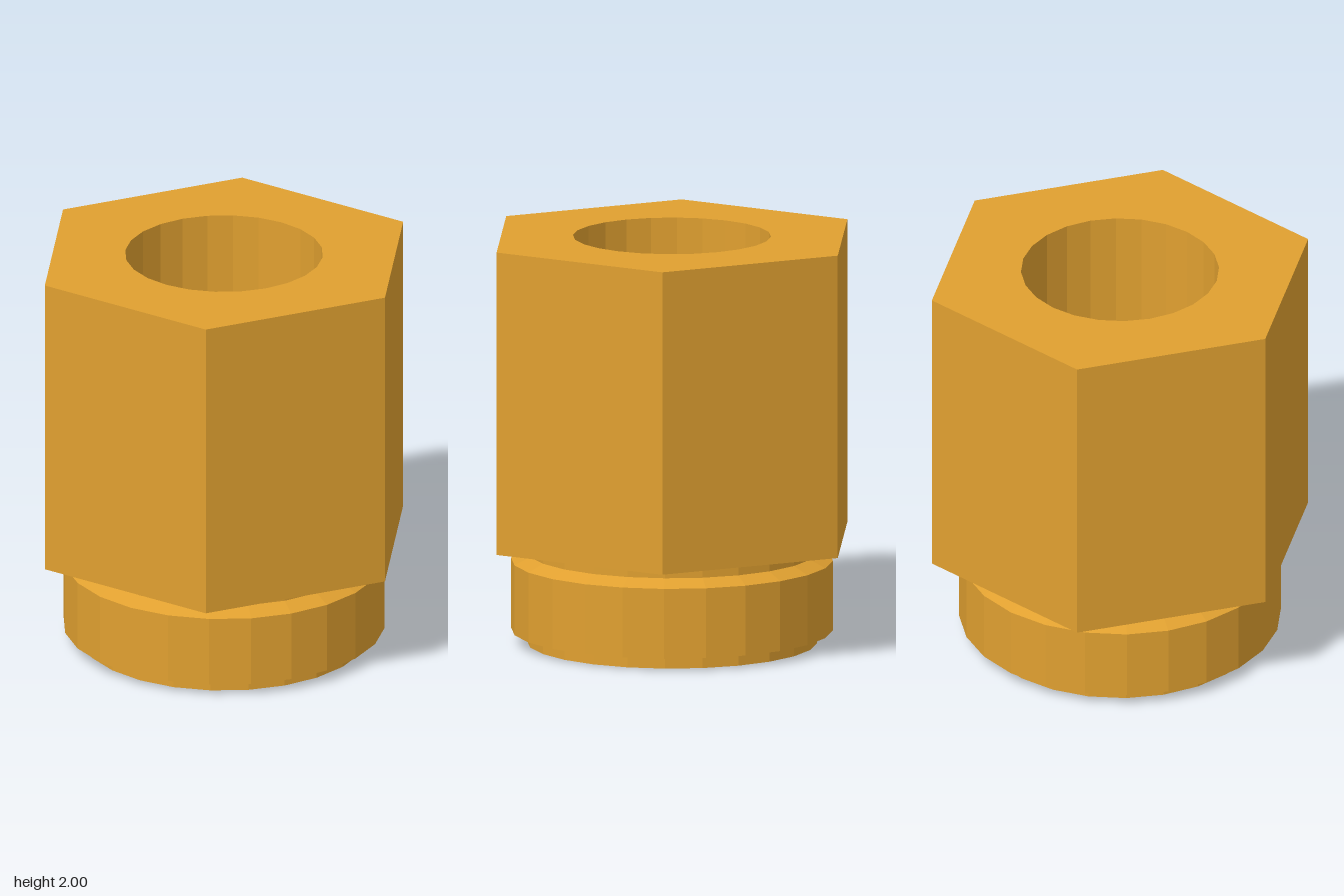
import * as THREE from 'three';

const TURN = THREE.MathUtils.degToRad(17.1); // shared rotation about the axis
const SIDES = 24;
const BORE = 0.48;
const JOIN = 0.51; // height where the collar meets the hex body

// Corners of a regular polygon
function ring(radius, sides) {
  return Array.from({ length: sides }, (_, i) => {
    const a = TURN + (i / sides) * Math.PI * 2;
    return new THREE.Vector2(Math.cos(a) * radius, Math.sin(a) * radius);
  });
}

export function createModel() {
  const group = new THREE.Group();
  group.name = 'hexFitting';
  const brass = new THREE.MeshStandardMaterial({ color: 0xe0a030, flatShading: true });

  // Hexagonal body with a round bore
  const shape = new THREE.Shape(ring(0.955, 6));
  shape.holes.push(new THREE.Path(ring(BORE, SIDES)));
  const bodyGeometry = new THREE.ExtrudeGeometry(shape, { depth: 2 - JOIN, bevelEnabled: false });
  bodyGeometry.rotateX(Math.PI / 2).translate(0, 2, 0);
  const body = new THREE.Mesh(bodyGeometry, brass);
  body.name = 'hexBody';
  group.add(body);

  // Stepped collar: bore, lower lip, wide band, chamfer and neck
  const profile = [
    [BORE, JOIN], [BORE, 0], [0.703, 0], [0.703, 0.063],
    [0.78, 0.063], [0.78, 0.407], [0.703, 0.445], [0.703, JOIN],
  ].map(([r, y]) => new THREE.Vector2(r, y));
  const collar = new THREE.Mesh(
    new THREE.LatheGeometry(profile, SIDES, Math.PI / 2 - TURN), brass);
  collar.name = 'collar';
  group.add(collar);

  return group;
}
